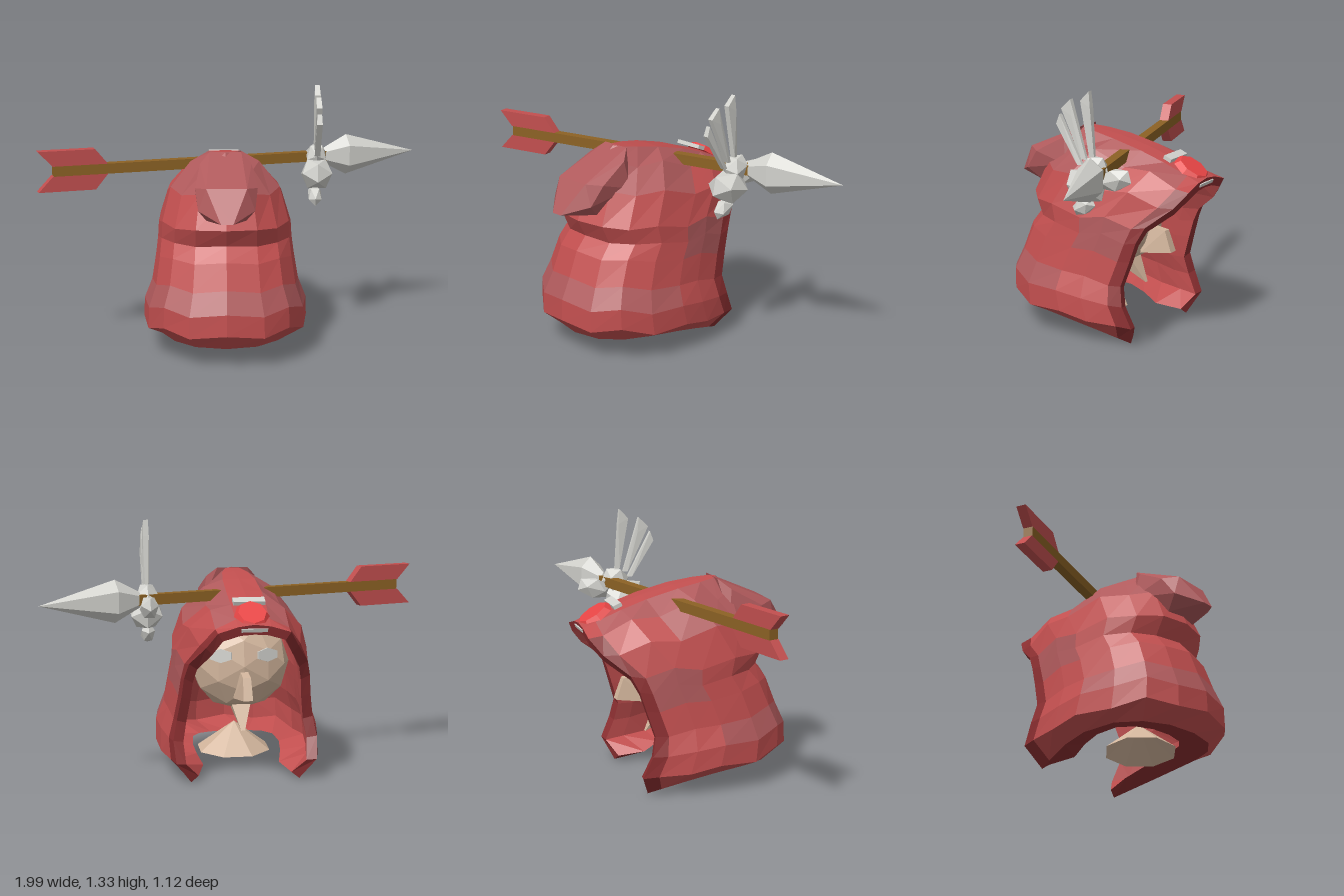
import * as THREE from 'three';
import { ConvexGeometry } from 'three/addons/geometries/ConvexGeometry.js';

const mat = (name, color) => new THREE.MeshStandardMaterial({ name, color, flatShading: true, side: THREE.DoubleSide });
const lerp = THREE.MathUtils.lerp;

// Faceted surface through rows of points; pick(row, column) gives a material index
function loft(rows, flip = false, pick = null) {
  const pos = [];
  const idx = [];
  const picks = [];
  const n = rows[0].length;
  rows.forEach(r => r.forEach(p => pos.push(...p)));
  for (let i = 0; i < rows.length - 1; i++) {
    for (let j = 0; j < n - 1; j++) {
      const a = i * n + j, b = a + 1, c = b + n, d = a + n;
      if (flip) idx.push(a, c, b, a, d, c);
      else idx.push(a, b, c, a, c, d);
      if (pick) picks.push(pick(i, j));
    }
  }
  const g = new THREE.BufferGeometry();
  g.setAttribute('position', new THREE.Float32BufferAttribute(pos, 3));
  g.setIndex(idx);
  const flat = g.toNonIndexed();
  flat.computeVertexNormals();
  picks.forEach((m, k) => flat.addGroup(k * 6, 6, m));
  return flat;
}

// Hull through half points [x, y, z] mirrored across x = 0
const mirroredHull = half => new ConvexGeometry(
  half.flatMap(([x, y, z]) => [new THREE.Vector3(x, y, z), new THREE.Vector3(-x, y, z)]));

// Hood levels: front y, front z, rim y, rim z, rim half width, widest half width, y bulge
const LEVELS = [
  [0.09, 0.45, 0.00, -0.29, 0.28, 0.35, 0.05],
  [0.18, 0.535, 0.11, -0.34, 0.36, 0.425, 0],
  [0.29, 0.53, 0.22, -0.29, 0.37, 0.42, 0],
  [0.40, 0.48, 0.32, -0.27, 0.35, 0.38, 0],
  [0.53, 0.43, 0.45, -0.31, 0.33, 0.36, 0],
  [0.60, 0.37, 0.55, -0.34, 0.32, 0.35, 0],
  [0.69, 0.42, 0.63, -0.38, 0.30, 0.345, 0],
  [0.85, 0.35, 0.73, -0.50, 0.23, 0.30, 0.02],
  [0.97, 0.26, 0.81, -0.56, 0.18, 0.19, 0.03],
  [1.04, 0.18, 0.84, -0.56, 0.08, 0.09, 0.035],
  [1.04, 0.18, 0.85, -0.56, 0, 0, 0.035],
];
const BACK_STEPS = [0, 0.2, 0.6];

// One level as an open horseshoe, from the -x rim round the front to the +x rim
function hoodRow([yF, zF, yR, zR, xR, w, bulge], row) {
  const half = [];
  const zM = lerp(zR, zF, 0.45);
  for (let k = 0; k <= 7; k++) {
    let x, z;
    if (k < 3) {
      x = lerp(xR, w, Math.sin(BACK_STEPS[k] * Math.PI / 2));
      z = lerp(zR, zM, BACK_STEPS[k]);
    } else {
      const a = (k - 3) / 4 * Math.PI / 2;
      x = w * Math.pow(Math.max(0, Math.cos(a)), 0.85);
      z = lerp(zM, zF, Math.pow(Math.sin(a), 0.9));
    }
    const v = (z - zR) / (zF - zR);
    const wobble = k > 0 && k < 7 && row > 0 && row < 9 ? 0.018 * Math.sin(row * 12.9 + k * 78.2) : 0;
    const y = lerp(yR, yF, v) + bulge * Math.sin(Math.PI * v) + wobble;
    half.push([x, y, z]);
  }
  const left = half.map(([x, y, z]) => [-x, y, z]);
  return [...left, ...half.slice(0, -1).reverse()];
}

// Cloth colours: 0 red, 1 faded folds, 2 dark border along the opening
function clothColour(row, col) {
  const fromFront = Math.abs(col - 6.5);
  if (fromFront > 6 && row < 8) return 2;
  if (fromFront < 4 && (row === 2 || row === 7)) return 1;
  if (fromFront < 6 && row === 8) return 1;
  if (fromFront > 4 && fromFront < 6 && (row === 4 || row === 5)) return 1;
  return 0;
}

export function createModel() {
  const red = mat('hoodRed', 0xc24f4f);
  const faded = mat('fadedRed', 0xb05a5c);
  const dark = mat('borderRed', 0x8c2f31);
  const gemRed = mat('gemRed', 0xe64545);
  const brown = mat('shaftBrown', 0x8c6224);
  const grey = mat('metalGrey', 0xd2d2cd);
  const beige = mat('faceBeige', 0xd2b59c);

  const model = new THREE.Group();
  model.name = 'hoodedHeadWithArrow';
  const add = (parent, name, geo, material, p = [0, 0, 0], s = [1, 1, 1], r = [0, 0, 0]) => {
    const m = new THREE.Mesh(geo, material);
    m.name = name;
    m.position.set(...p);
    m.scale.set(...s);
    m.rotation.set(...r);
    parent.add(m);
  };

  // Hood: outer cloth, lining, rim and hem
  const hood = new THREE.Group();
  hood.name = 'hood';
  hood.position.x = -0.04;
  model.add(hood);
  const outer = LEVELS.map(hoodRow);
  const inner = outer.map((r, i) => r.map(([x, y, z], j) => {
    const rim = j === 0 || j === r.length - 1;
    const k = i === 0 && !rim ? 0.66 : 0.86;
    return [x * k, i === 0 ? y + 0.03 : y - 0.05 * i / 10, rim ? z + 0.01 : z * k];
  }));
  add(hood, 'hoodCloth', loft(outer, false, clothColour), [red, faded, dark]);
  add(hood, 'hoodLining', loft(inner, true), red);
  add(hood, 'hoodHem', loft([inner[0], outer[0]]), dark);
  for (const end of [0, outer[0].length - 1]) {
    const rim = [inner.map(r => r[end]), outer.map(r => r[end])];
    add(hood, 'hoodRim', loft(rim, end === 0), dark);
  }

  // Folded peak hanging over the front
  add(hood, 'hoodPeak', mirroredHull([
    [0.08, 1.04, 0.16], [0.13, 0.99, 0.22], [0.155, 0.9, 0.38], [0.14, 0.8, 0.45],
    [0.1, 0.91, 0.45], [0.03, 0.755, 0.555], [0.1, 0.735, 0.38], [0.155, 0.85, 0.2],
  ]), faded);

  // Gem above the opening, held by a clasp in front and a lip below
  add(hood, 'gemClasp', new THREE.BoxGeometry(0.16, 0.02, 0.045), grey,
    [0, 0.938, -0.375], [1, 1, 1], [-0.4, 0, 0]);
  add(hood, 'gemLip', new THREE.BoxGeometry(0.13, 0.018, 0.08), grey,
    [0, 0.834, -0.522], [1, 1, 1], [-0.35, 0, 0]);
  add(hood, 'gem', new THREE.CylinderGeometry(0.078, 0.1, 0.03, 8), gemRed,
    [0, 0.888, -0.477], [0.9, 1, 1.05], [-0.57, 0, 0]);

  // Head inside the hood
  add(hood, 'face', new THREE.IcosahedronGeometry(1, 1), beige, [0, 0.58, -0.08], [0.26, 0.25, 0.17]);
  add(hood, 'nose', mirroredHull([
    [0.02, 0.56, -0.2], [0.05, 0.41, -0.2], [0.02, 0.54, -0.33], [0.025, 0.43, -0.37],
  ]), beige);
  add(hood, 'chin', mirroredHull([[0.05, 0.37, -0.14], [0.01, 0.24, -0.21], [0.04, 0.33, -0.06]]), beige);
  for (const s of [-1, 1]) {
    add(hood, 'eye', new THREE.CylinderGeometry(0.065, 0.065, 0.009, 6), grey,
      [s * 0.12, 0.64, -0.24], [1, 1, 0.55], [Math.PI / 2 + 0.05, 0, s * 0.35]);
  }
  // Hollow neck base
  add(hood, 'neck', new THREE.ConeGeometry(1, 1, 8, 1, true, Math.PI / 8), beige,
    [0, 0.147, 0.11], [0.2, 0.15, 0.175], [-0.09, 0, 0]);

  // Arrow, modelled along x and turned through the hood
  const arrow = new THREE.Group();
  arrow.name = 'arrow';
  arrow.position.set(0, 0.94, -0.125);
  arrow.rotation.y = 0.272;
  model.add(arrow);
  add(arrow, 'shaft', new THREE.BoxGeometry(1.48, 0.052, 0.05), brown, [-0.21, 0, 0]);
  const vane = new THREE.Shape([[-1.03, 0.105], [-0.955, 0.026], [-0.67, 0.026], [-0.735, 0.105]]
    .map(p => new THREE.Vector2(...p)));
  const vaneGeo = new THREE.ExtrudeGeometry(vane, { depth: 0.05, bevelEnabled: false });
  vaneGeo.translate(0, 0, -0.025);
  add(arrow, 'upperVane', vaneGeo, red);
  add(arrow, 'lowerVane', vaneGeo, red, [0, 0, 0], [1, 1, 1], [Math.PI, 0, 0]);
  const headProfile = [[0, 0], [0.04, 0.01], [0.108, 0.14], [0, 0.53]].map(p => new THREE.Vector2(...p));
  add(arrow, 'arrowHead', new THREE.LatheGeometry(headProfile, 6, Math.PI / 2), grey,
    [0.5, 0, 0], [1, 1, 0.65], [0, 0, -Math.PI / 2]);

  // Metal ornament on the shaft: knuckles, drop and upright blades
  const ornament = new THREE.Group();
  ornament.name = 'ornament';
  ornament.position.x = 0.45;
  model.add(ornament);
  const nugget = new THREE.IcosahedronGeometry(1, 0);
  [
    [[0, 0.86, -0.16], [0.092, 0.09, 0.12], -0.2],
    [[0, 0.95, -0.21], [0.06, 0.07, 0.08], 0.4],
    [[0, 0.91, -0.33], [0.05, 0.06, 0.1], 0.3],
    [[-0.01, 0.75, -0.14], [0.04, 0.045, 0.075], 0.5],
  ].forEach(([p, s, r]) => add(ornament, 'knuckle', nugget, grey, p, s, [r, 0, 0]));
  // Blade tip z and y, foot z and y, half width
  [
    [-0.005, 1.18, -0.13, 0.96, 0.01],
    [-0.055, 1.26, -0.155, 0.99, 0.03],
    [-0.165, 1.31, -0.2, 1.01, 0.028],
  ].forEach(([z, y, z0, y0, w]) => add(ornament, 'blade', mirroredHull([
    [0.015, y - 0.03, z + w], [0.012, y + 0.02, z - w * 0.7], [0.015, y - 0.06, z - w],
    [0.015, y0, z0 + 0.012], [0.008, y0, z0 - 0.012],
  ]), grey));

  return model;
}
